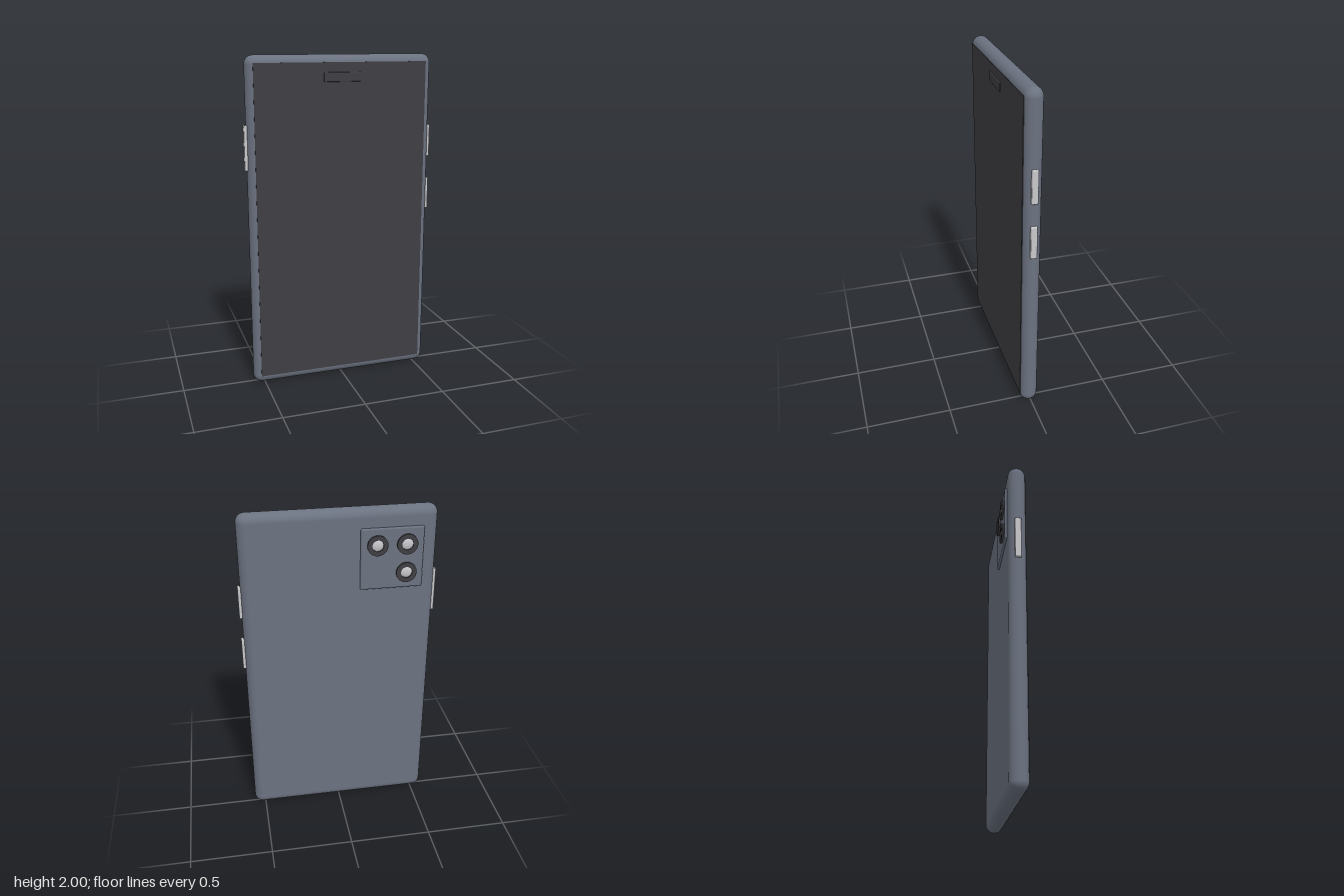
import * as THREE from 'three';
import { RoundedBoxGeometry } from 'three/addons/geometries/RoundedBoxGeometry.js';

const material = (name, color) => {
  const m = new THREE.MeshStandardMaterial({ color });
  m.name = name;
  return m;
};

export function createModel() {
  const phone = new THREE.Group();
  phone.name = 'smartphone';

  const slate = material('slate casing', 0x6b7280);
  const black = material('dark glass', 0x3f3f44);
  const silver = material('silver metal', 0xc8c8cb);

  const add = (name, geometry, mat, x, y, z, parent = phone) => {
    const mesh = new THREE.Mesh(geometry, mat);
    mesh.name = name;
    mesh.position.set(x, y, z);
    parent.add(mesh);
    return mesh;
  };

  // Casing with fully rounded edges
  const midZ = 0.0085;
  add('casing', new RoundedBoxGeometry(1.134, 2, 0.105, 8, 0.052), slate, 0, 1, midZ);

  // Screen and the speaker bar near its top
  add('screen', new THREE.BoxGeometry(1.052, 1.906, 0.012), black, 0, 1.003, 0.057);
  add('speakerBar', new RoundedBoxGeometry(0.226, 0.055, 0.016, 3, 0.004), black, 0, 1.872, 0.061);

  // Side buttons: [name, side, centre height, length]
  for (const [name, side, y, length] of [
    ['upperLeftButton', 1, 1.472, 0.197],
    ['lowerLeftButton', 1, 1.138, 0.197],
    ['rightButton', -1, 1.474, 0.265],
  ]) {
    add(name, new RoundedBoxGeometry(0.036, length, 0.038, 3, 0.006), silver, side * 0.564, y, midZ);
  }

  // Camera plate on the back
  add('cameraPlate', new RoundedBoxGeometry(0.366, 0.366, 0.03, 4, 0.01), slate, -0.302, 1.706, -0.042);

  // Lens: a dark ring around a shallow metal dome, both turned about their axis
  const lathe = (points) =>
    new THREE.LatheGeometry(points.map(([r, h]) => new THREE.Vector2(r, h)), 40);
  const ringWall = lathe([[0.06, 0], [0.06, 0.012]]);
  const ringFace = lathe([[0.06, 0.012], [0.033, 0.012]]);
  const ringInside = lathe([[0.033, 0.012], [0.033, 0.003]]);
  const dome = lathe([[0.033, 0.004], [0.028, 0.007], [0.02, 0.01], [0.01, 0.0115], [0, 0.012]]);

  for (const [x, y] of [[-0.215, 1.79], [-0.387, 1.79], [-0.387, 1.62]]) {
    const lens = new THREE.Group();
    lens.name = 'cameraLens';
    lens.position.set(x, y, -0.057);
    lens.rotation.x = -Math.PI / 2;
    add('lensRingWall', ringWall, black, 0, 0, 0, lens);
    add('lensRingFace', ringFace, black, 0, 0, 0, lens);
    add('lensRingInside', ringInside, black, 0, 0, 0, lens);
    add('lensDome', dome, silver, 0, 0, 0, lens);
    phone.add(lens);
  }

  return phone;
}
